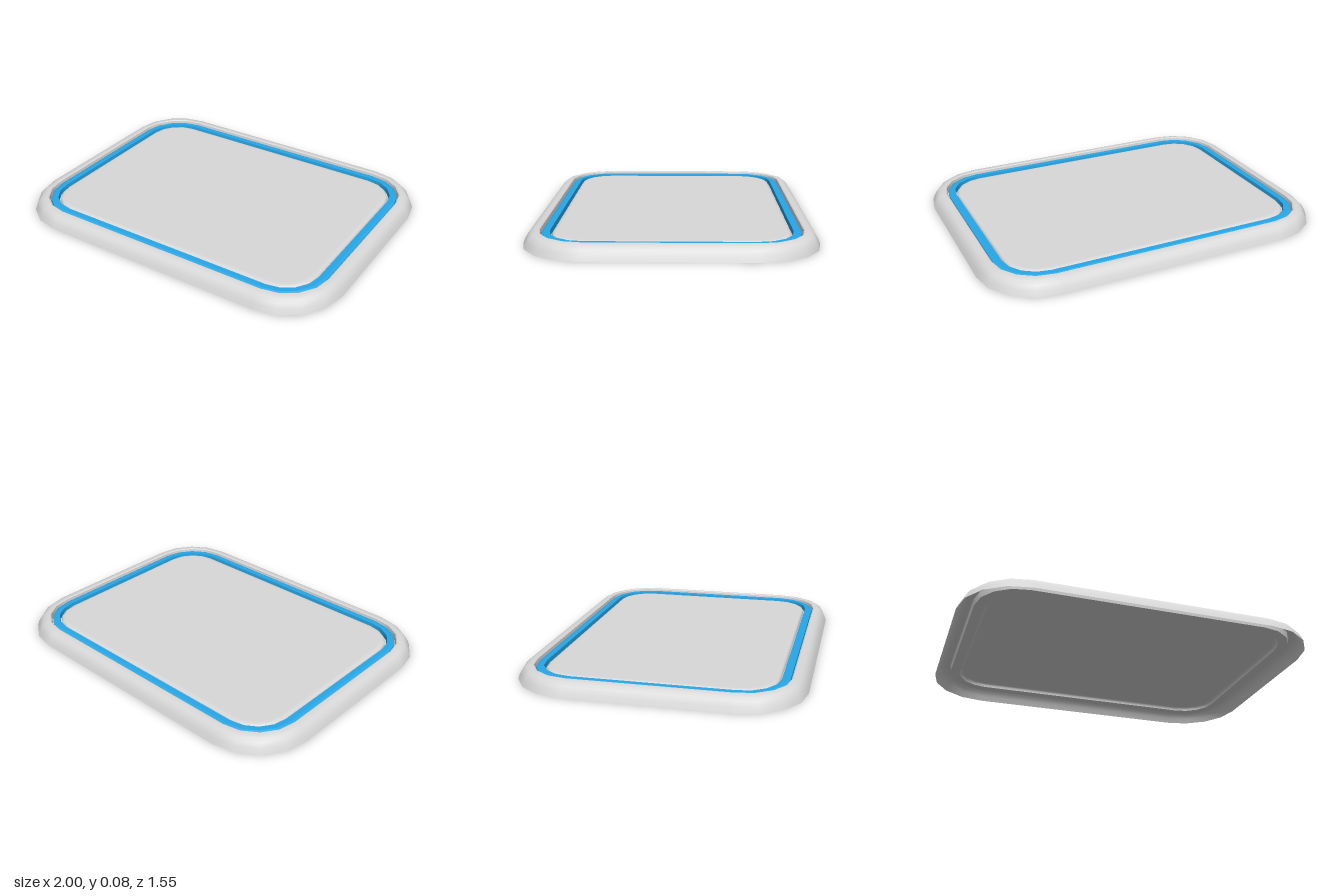
import * as THREE from 'three';
import { mergeGeometries } from 'three/addons/utils/BufferGeometryUtils.js';

const HALF_X = 1, HALF_Z = 0.777, RADIUS = 0.34, STEPS = 4;
const CENTRE = Infinity; // inset that collapses the outline to the middle

// Rounded-rectangle outline, shrunk inwards by the inset
function outline(inset) {
  const points = [];
  const signs = [[1, 1], [-1, 1], [-1, -1], [1, -1]];
  signs.forEach(([sx, sz], corner) => {
    for (let i = 0; i <= STEPS; i++) {
      if (inset === CENTRE) { points.push([0, 0]); continue; }
      const a = (corner + i / STEPS) * Math.PI / 2, r = RADIUS - inset;
      points.push([
        sx * (HALF_X - RADIUS) + r * Math.cos(a),
        sz * (HALF_Z - RADIUS) + r * Math.sin(a),
      ]);
    }
  });
  return points;
}

// Sweep a smooth profile of [inset, y] around the outline
function strip(profile) {
  const positions = [], index = [];
  const n = 4 * (STEPS + 1);
  for (const [inset, y] of profile) {
    for (const [x, z] of outline(inset)) positions.push(x, y, z);
  }
  for (let j = 0; j < profile.length - 1; j++) {
    for (let i = 0; i < n; i++) {
      const a = j * n + i, b = j * n + (i + 1) % n;
      index.push(a, a + n, b, b, a + n, b + n);
    }
  }
  const geometry = new THREE.BufferGeometry();
  geometry.setAttribute('position', new THREE.Float32BufferAttribute(positions, 3));
  geometry.setIndex(index);
  geometry.computeVertexNormals();
  return geometry;
}

// Several strips with a sharp crease between each
function part(name, material, profiles) {
  const mesh = new THREE.Mesh(mergeGeometries(profiles.map(strip)), material);
  mesh.name = name;
  return mesh;
}

export function createModel() {
  const grey = new THREE.MeshStandardMaterial({ color: 0xd8d8d8, side: THREE.DoubleSide });
  grey.name = 'light grey';
  const blue = new THREE.MeshStandardMaterial({ color: 0x28abec });
  blue.name = 'bright blue';

  const group = new THREE.Group();
  group.name = 'tray';

  group.add(
    // Hollow raised rim with a rounded outer slope and an upright inner wall
    part('rim', grey, [
      [[0, 0], [0.012, 0.03], [0.026, 0.053], [0.044, 0.069], [0.064, 0.075], [0.082, 0.076]],
      [[0.082, 0.076], [0.088, 0.072]],
      [[0.088, 0.072], [0.092, 0.037]],
    ]),
    // Floor of the channel between rim and panel
    part('channelFloor', grey, [[[0.092, 0.037], [0.15, 0.037]]]),
    // Bevelled coloured band lying in the channel
    part('band', blue, [
      [[0.097, 0.037], [0.097, 0.06]],
      [[0.097, 0.06], [0.11, 0.066]],
      [[0.11, 0.066], [0.14, 0.066]],
      [[0.14, 0.066], [0.142, 0.037]],
    ]),
    // Central panel, a thin sheet raised from the floor with a softened edge
    part('panel', grey, [
      [[0.15, 0.037], [0.152, 0.05], [0.158, 0.057], [0.168, 0.061], [0.18, 0.062], [0.2, 0.062]],
      [[0.2, 0.062], [CENTRE, 0.062]],
    ]),
  );
  return group;
}
